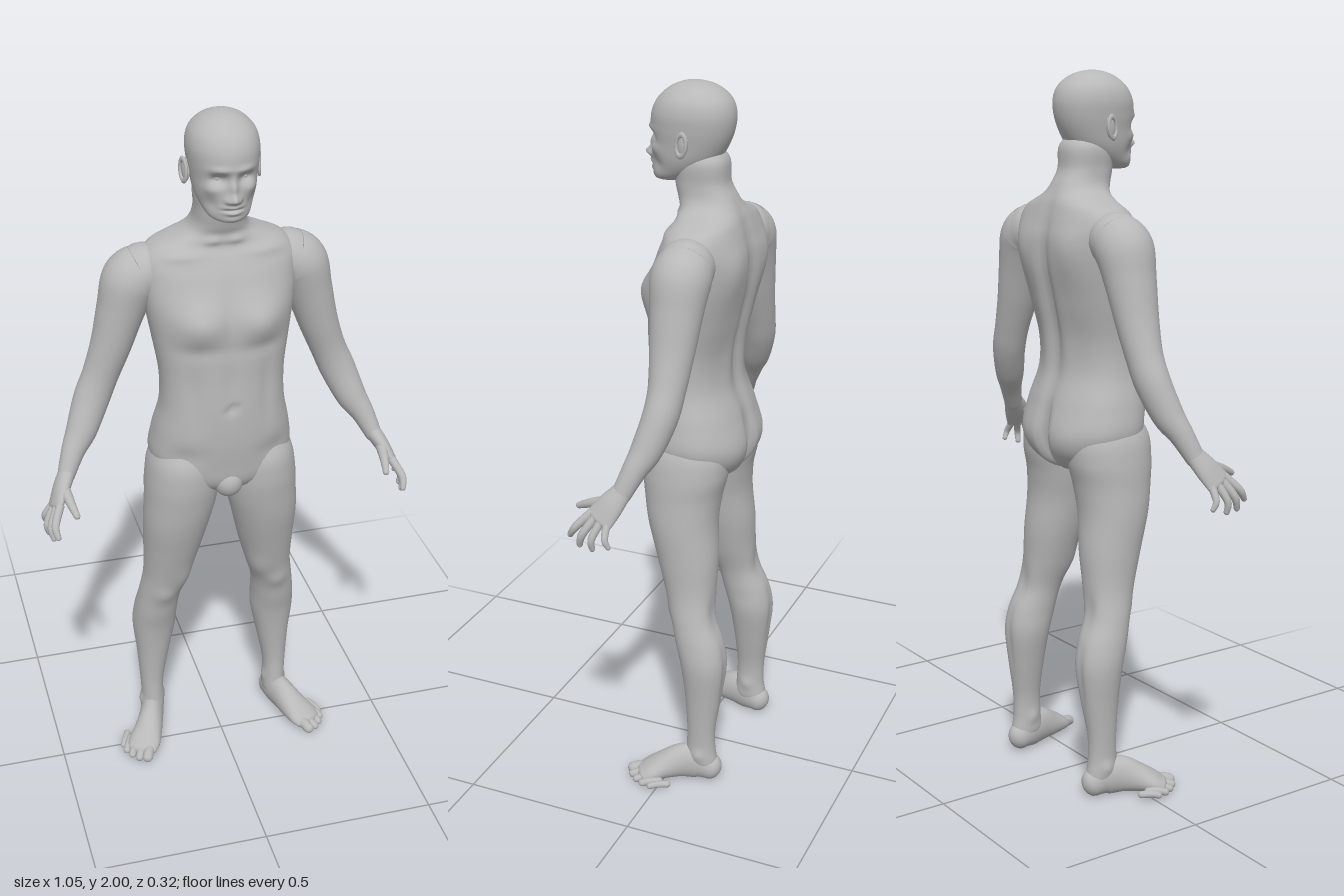
import * as THREE from 'three';

const skin = new THREE.MeshStandardMaterial({ color: 0xb8b8b8 });
skin.name = 'clay grey';

// Catmull-Rom interpolation of every column of a table of sections
function sample(rows, t) {
  const last = rows.length - 1;
  const i = Math.min(Math.floor(t), last - 1), f = t - i;
  const [a, b, c, d] = [i - 1, i, i + 1, i + 2].map(k => rows[Math.min(Math.max(k, 0), last)]);
  return b.map((_, k) => b[k] + 0.5 * f * (c[k] - a[k]
    + f * (2 * a[k] - 5 * b[k] + 4 * c[k] - d[k] + f * (3 * (b[k] - c[k]) + d[k] - a[k]))));
}

// Skin a list of closed rings with smooth normals
function skinRings(rings) {
  const n = rings[0].length, index = [];
  for (let i = 0; i < rings.length - 1; i++) {
    for (let j = 0; j < n; j++) {
      const a = i * n + j, b = i * n + (j + 1) % n;
      index.push(a, a + n, b, b, a + n, b + n);
    }
  }
  const geo = new THREE.BufferGeometry().setFromPoints(rings.flat());
  geo.setIndex(index);
  geo.computeVertexNormals();
  return geo;
}

const power = (v, e) => Math.sign(v) * Math.abs(v) ** e;

// Stack of level sections: [y, centreX, halfWidth, frontZ, backZ]
function stack(rows, segs, steps, roundness = 2.2) {
  const rings = [];
  for (let s = 0; s <= (rows.length - 1) * steps; s++) {
    const [y, cx, w, zf, zb] = sample(rows, s / steps);
    const hw = Math.max(w, 0.0005), hz = Math.max((zf - zb) / 2, 0.0005);
    rings.push(Array.from({ length: segs }, (_, j) => {
      const a = j / segs * Math.PI * 2;
      return new THREE.Vector3(cx + hw * power(Math.cos(a), 2 / roundness), y,
        (zf + zb) / 2 + hz * power(Math.sin(a), 2 / roundness));
    }));
  }
  return skinRings(rings);
}

// Round-ended limb along a path: [x, y, z, sideRadius, otherRadius]
function limb(rows, ref, segs = 32, steps = 8) {
  const end = rows.length - 1, count = end * steps, rings = [];
  const addRing = (t, shift, scale) => {
    const [x, y, z, ra, rb] = sample(rows, t);
    const p = sample(rows, Math.max(t - 0.05, 0)), q = sample(rows, Math.min(t + 0.05, end));
    const dir = new THREE.Vector3(q[0] - p[0], q[1] - p[1], q[2] - p[2]).normalize();
    const side = dir.clone().cross(ref).normalize(), up = side.clone().cross(dir);
    const centre = new THREE.Vector3(x, y, z).addScaledVector(dir, shift * Math.min(ra, rb));
    rings.push(Array.from({ length: segs }, (_, j) => {
      const a = j / segs * Math.PI * 2;
      return centre.clone().addScaledVector(side, Math.cos(a) * ra * scale)
        .addScaledVector(up, Math.sin(a) * rb * scale);
    }));
  };
  const cap = [0, 1, 2, 3, 4, 5].map(k => k / 6 * Math.PI / 2);
  for (const a of cap) addRing(0, -Math.cos(a), Math.max(Math.sin(a), 0.01));
  for (let s = 0; s <= count; s++) addRing(s / steps, 0, 1);
  for (const a of [...cap].reverse()) addRing(end, Math.cos(a), Math.max(Math.sin(a), 0.01));
  return skinRings(rings);
}

// Push the surface in soft spots: [x, y, z, spreadX, spreadY, spreadZ, pushX, pushZ], mirrored when x > 0
function sculpt(geo, spots) {
  const pos = geo.attributes.position;
  const all = spots.flatMap(s => s[0] > 0 ? [s, [-s[0], ...s.slice(1, 6), -s[6], s[7]]] : [s]);
  for (let i = 0; i < pos.count; i++) {
    const x = pos.getX(i), y = pos.getY(i), z = pos.getZ(i);
    let dx = 0, dz = 0;
    for (const [cx, cy, cz, sx, sy, sz, px, pz] of all) {
      const g = Math.exp(-(((x - cx) / sx) ** 2) - ((y - cy) / sy) ** 2 - ((z - cz) / sz) ** 2);
      dx += px * g;
      dz += pz * g;
    }
    pos.setXYZ(i, x + dx, y, z + dz);
  }
  geo.computeVertexNormals();
  return geo;
}

function mirrored(geo) {
  const copy = geo.clone().scale(-1, 1, 1), idx = copy.index;
  for (let i = 0; i < idx.count; i += 3) {
    const b = idx.getX(i + 1);
    idx.setX(i + 1, idx.getX(i + 2));
    idx.setX(i + 2, b);
  }
  copy.computeVertexNormals();
  return copy;
}

const ball = (x, y, z, rx, ry, rz) =>
  new THREE.SphereGeometry(1, 32, 24).scale(rx, ry, rz).translate(x, y, z);

export function createModel() {
  const model = new THREE.Group();
  model.name = 'figure';
  const add = (name, geo) => {
    const mesh = new THREE.Mesh(geo, skin);
    mesh.name = name;
    model.add(mesh);
  };
  const pair = (name, geo) => {
    add('left' + name, geo);
    add('right' + name, mirrored(geo));
  };
  const Y = new THREE.Vector3(0, 1, 0), Z = new THREE.Vector3(0, 0, 1);

  // Trunk and neck: pelvis up to the skull base
  const trunk = stack([
    [0.9, 0, 0.001, 0, -0.04], [0.915, 0, 0.07, 0.06, -0.11], [0.955, 0, 0.16, 0.1, -0.15],
    [1.02, 0, 0.2, 0.112, -0.165], [1.1, 0, 0.193, 0.12, -0.148], [1.19, 0, 0.174, 0.121, -0.118],
    [1.28, 0, 0.173, 0.117, -0.118], [1.38, 0, 0.188, 0.115, -0.142], [1.47, 0, 0.203, 0.108, -0.16],
    [1.55, 0, 0.213, 0.082, -0.162], [1.6, 0, 0.212, 0.06, -0.152], [1.635, 0, 0.185, 0.04, -0.142],
    [1.655, 0, 0.14, 0.035, -0.135], [1.675, 0, 0.095, 0.036, -0.125], [1.7, 0, 0.074, 0.045, -0.112],
    [1.74, 0, 0.068, 0.054, -0.092], [1.8, 0, 0.068, 0.055, -0.086], [1.84, 0, 0.03, 0.02, -0.05],
  ], 96, 7, 2.35);
  add('trunk', sculpt(trunk, [
    [0.09, 1.45, 0.11, 0.065, 0.055, 0.06, 0, 0.024],   // chest muscles
    [0.09, 1.375, 0.12, 0.07, 0.02, 0.06, 0, -0.006],
    [0, 1.47, 0.11, 0.016, 0.08, 0.06, 0, -0.008],
    [0, 1.28, 0.12, 0.012, 0.1, 0.06, 0, -0.005],       // belly line and navel
    [0, 1.2, 0.12, 0.014, 0.01, 0.06, 0, -0.012],
    [0.1, 1.24, 0.11, 0.02, 0.1, 0.06, 0, -0.006],
    [0.13, 1.05, 0.1, 0.05, 0.03, 0.06, 0, -0.008],     // groin folds
    [0, 1.4, -0.15, 0.024, 0.2, 0.07, 0, 0.02],         // spine
    [0.11, 1.53, -0.15, 0.055, 0.07, 0.07, 0, -0.012],  // shoulder blades
    [0.05, 1.25, -0.12, 0.03, 0.1, 0.06, 0, -0.006],
    [0, 0.99, -0.16, 0.018, 0.09, 0.08, 0, 0.045],      // cleft
    [0.09, 1.0, -0.15, 0.06, 0.06, 0.06, 0, -0.008],
    [0.03, 1.66, 0.04, 0.025, 0.012, 0.05, 0, 0.008],   // collarbones
    [0.12, 1.625, 0.03, 0.07, 0.014, 0.05, 0, 0.008],
  ]));
  add('groin', ball(0, 0.955, 0.075, 0.042, 0.048, 0.042));

  // Head with sculpted face
  const head = stack([
    [1.734, 0, 0.001, 0.09, 0.07], [1.737, 0, 0.03, 0.11, 0.04], [1.747, 0, 0.052, 0.117, 0.015],
    [1.77, 0, 0.068, 0.12, -0.03], [1.8, 0, 0.079, 0.12, -0.065], [1.84, 0, 0.086, 0.12, -0.089],
    [1.88, 0, 0.092, 0.124, -0.103], [1.92, 0, 0.094, 0.12, -0.106], [1.955, 0, 0.084, 0.102, -0.094],
    [1.982, 0, 0.058, 0.07, -0.064], [1.996, 0, 0.027, 0.036, -0.028], [2, 0, 0.001, 0.006, 0.004],
  ], 144, 10, 2.1);
  add('head', sculpt(head, [
    [0, 1.803, 0.12, 0.013, 0.013, 0.05, 0, 0.025],       // nose
    [0, 1.832, 0.12, 0.011, 0.022, 0.05, 0, 0.014],
    [0.015, 1.799, 0.12, 0.008, 0.008, 0.05, 0, 0.009],
    [0.034, 1.853, 0.11, 0.021, 0.014, 0.05, 0, -0.018],  // eye sockets
    [0.033, 1.878, 0.11, 0.026, 0.009, 0.05, 0, 0.006],   // brows
    [0.052, 1.825, 0.1, 0.02, 0.014, 0.05, 0.003, 0.004], // cheekbones
    [0.055, 1.785, 0.09, 0.018, 0.02, 0.05, -0.004, -0.005],
    [0, 1.782, 0.12, 0.022, 0.006, 0.05, 0, 0.011],       // lips
    [0, 1.774, 0.12, 0.026, 0.003, 0.05, 0, -0.005],
    [0, 1.766, 0.12, 0.02, 0.006, 0.05, 0, 0.01],
    [0, 1.748, 0.12, 0.022, 0.01, 0.05, 0, 0.005],        // chin
  ]));
  pair('Eye', ball(0.034, 1.853, 0.085, 0.014, 0.011, 0.013));

  // Ears: a thin shell with a raised rim
  const ear = g => g.rotateY(-0.3).rotateX(-0.12).translate(0.094, 1.849, 0);
  pair('Ear', ear(ball(0, 0, 0, 0.008, 0.03, 0.017)));
  pair('EarRim', ear(new THREE.TorusGeometry(0.016, 0.0045, 10, 32)
    .rotateY(Math.PI / 2).scale(1, 1.75, 1).translate(0.007, 0, 0)));

  // Arms
  const arm = limb([
    [0.2, 1.56, -0.055, 0.075, 0.076], [0.235, 1.535, -0.055, 0.078, 0.08],
    [0.262, 1.46, -0.055, 0.066, 0.071], [0.292, 1.36, -0.055, 0.056, 0.06],
    [0.325, 1.27, -0.055, 0.05, 0.05], [0.355, 1.2, -0.048, 0.05, 0.047],
    [0.39, 1.12, -0.025, 0.043, 0.042], [0.42, 1.07, -0.003, 0.033, 0.033],
    [0.447, 1.01, 0.022, 0.024, 0.027],
  ], Z, 48);
  pair('Arm', arm);

  // Hands
  pair('Palm', limb([
    [0.443, 1.02, 0.018, 0.023, 0.027], [0.466, 0.983, 0.044, 0.021, 0.037],
    [0.486, 0.948, 0.067, 0.015, 0.041],
  ], Z));
  const fingers = {
    Thumb: [[0.46, 0.99, 0.05, 0.017], [0.452, 0.972, 0.105, 0.013], [0.443, 0.953, 0.148, 0.009]],
    IndexFinger: [[0.48, 0.957, 0.095, 0.012], [0.5, 0.92, 0.13, 0.011], [0.497, 0.892, 0.149, 0.008]],
    MiddleFinger: [[0.485, 0.95, 0.08, 0.012], [0.508, 0.905, 0.108, 0.011], [0.505, 0.872, 0.118, 0.008]],
    RingFinger: [[0.49, 0.943, 0.062, 0.012], [0.515, 0.9, 0.078, 0.01], [0.512, 0.87, 0.078, 0.008]],
    LittleFinger: [[0.494, 0.935, 0.044, 0.011], [0.515, 0.905, 0.04, 0.009], [0.514, 0.884, 0.031, 0.007]],
  };
  for (const [name, path] of Object.entries(fingers)) {
    pair(name, limb(path.map(p => [...p, p[3]]), name === 'Thumb' ? Y : Z, 14, 6));
  }

  // Legs, ankle to hip
  const leg = stack([
    [0.03, 0.197, 0.02, -0.08, -0.13], [0.06, 0.197, 0.034, -0.052, -0.145],
    [0.11, 0.197, 0.033, -0.054, -0.139], [0.18, 0.197, 0.036, -0.056, -0.14],
    [0.28, 0.191, 0.049, -0.048, -0.155], [0.38, 0.186, 0.064, -0.034, -0.166],
    [0.45, 0.182, 0.064, -0.016, -0.155], [0.52, 0.173, 0.062, 0, -0.128],
    [0.6, 0.155, 0.068, 0.025, -0.12], [0.7, 0.141, 0.082, 0.055, -0.12],
    [0.8, 0.13, 0.095, 0.083, -0.113], [0.88, 0.118, 0.103, 0.098, -0.12],
    [0.95, 0.112, 0.105, 0.106, -0.135], [1.02, 0.108, 0.095, 0.1, -0.13], [1.09, 0.1, 0.06, 0.06, -0.08],
  ], 48, 7, 2.1);
  pair('Leg', sculpt(leg, [
    [0.172, 0.535, 0.005, 0.03, 0.03, 0.04, 0, 0.008],     // kneecap
    [0.12, 0.6, 0, 0.03, 0.05, 0.04, -0.005, 0.006],       // inner thigh muscle
    [0.17, 0.54, -0.13, 0.022, 0.05, 0.04, 0, 0.008],      // hollow of the knee
    [0.186, 0.36, -0.165, 0.012, 0.09, 0.04, 0, 0.006],
    [0.165, 0.105, -0.095, 0.02, 0.018, 0.02, -0.006, 0],  // ankle bones
    [0.23, 0.09, -0.1, 0.02, 0.018, 0.02, 0.007, 0],
  ]));

  // Feet: flat soles and five toes turned outwards
  const foot = limb([
    [0.195, 0.04, -0.125, 0.033, 0.04], [0.2, 0.052, -0.09, 0.035, 0.054],
    [0.214, 0.053, -0.045, 0.037, 0.053], [0.234, 0.04, 0, 0.043, 0.041],
    [0.254, 0.028, 0.036, 0.049, 0.028], [0.265, 0.02, 0.056, 0.045, 0.02],
  ], Y, 40);
  const sole = foot.attributes.position;
  for (let i = 0; i < sole.count; i++) sole.setY(i, Math.max(sole.getY(i), 0));
  foot.computeVertexNormals();
  pair('Foot', foot);
  const toes = [[0.258, 0.096, 0.016], [0.281, 0.086, 0.012], [0.299, 0.066, 0.011],
    [0.311, 0.042, 0.011], [0.315, 0.015, 0.01]];
  toes.forEach(([x, z, r], i) => pair('Toe' + (i + 1), limb([
    [x - 0.02, r + 0.006, z - 0.045, r, r], [x - 0.008, r + 0.005, z - 0.018, r, r], [x, r, z, r, r * 0.95],
  ], Y, 16, 5)));

  return model;
}
